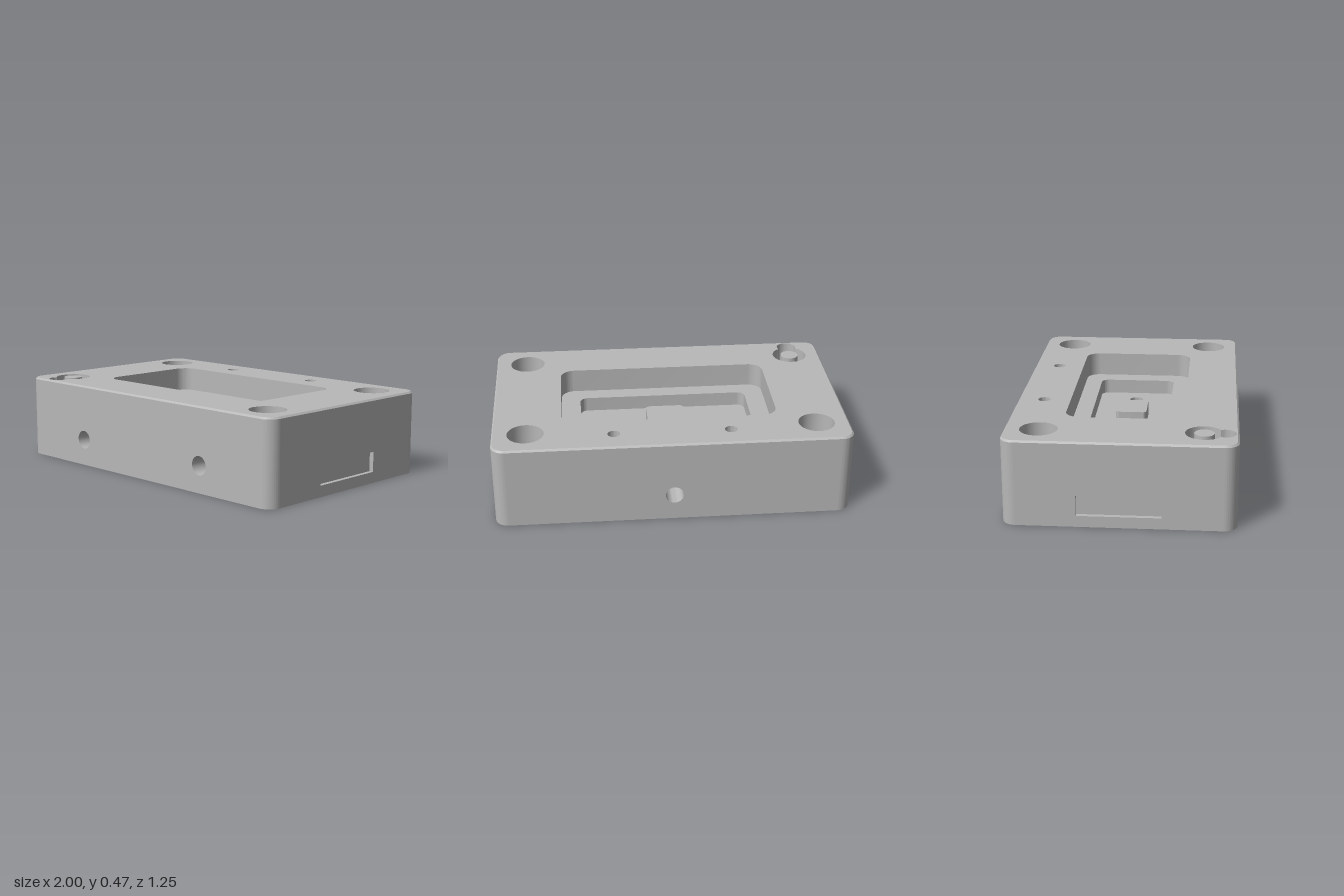
import * as THREE from 'three';
import { toCreasedNormals } from 'three/addons/utils/BufferGeometryUtils.js';

const SEG = 16;
const HX = 1, HZ = 0.6225, H = 0.475, CHAMFER = 0.01, R = 0.075;
const PI = Math.PI;

const grey = new THREE.MeshStandardMaterial({ color: 0xb8b8b8 });
grey.name = 'machined grey';

function circle(x, y, r) {
  return new THREE.Shape().absarc(x, y, r, 0, 2 * PI, false);
}

// Rectangle centred on (x, y) with half sizes and an optional corner radius
function rect(x, y, hx, hy, r = 0) {
  const s = new THREE.Shape();
  if (r === 0) {
    s.moveTo(x - hx, y - hy).lineTo(x + hx, y - hy).lineTo(x + hx, y + hy).lineTo(x - hx, y + hy);
    return s;
  }
  [[1, -1], [1, 1], [-1, 1], [-1, -1]].forEach(([a, b], i) =>
    s.absarc(x + a * (hx - r), y + b * (hy - r), r, (i - 1) * PI / 2, i * PI / 2, false));
  return s;
}

// Flat surface facing local +z
function face(parent, name, shape, z, holes = []) {
  shape.holes = holes;
  const mesh = new THREE.Mesh(new THREE.ShapeGeometry(shape, SEG), grey);
  mesh.position.z = z;
  mesh.name = name;
  parent.add(mesh);
}

// Strip joining outline a at z0 to outline b at z1
function band(parent, name, a, z0, b, z1, inward = false, closed = true) {
  const p = a.getPoints(SEG), q = b.getPoints(SEG), pos = [];
  const n = closed ? p.length : p.length - 1;
  for (let i = 0; i < n; i++) {
    const j = (i + 1) % p.length;
    if (p[i].distanceTo(p[j]) < 1e-6) continue;
    const [s, e] = inward ? [j, i] : [i, j];
    const A = [p[s].x, p[s].y, z0], B = [p[e].x, p[e].y, z0];
    const C = [q[e].x, q[e].y, z1], D = [q[s].x, q[s].y, z1];
    pos.push(...A, ...B, ...C, ...A, ...C, ...D);
  }
  const g = new THREE.BufferGeometry();
  g.setAttribute('position', new THREE.Float32BufferAttribute(pos, 3));
  const mesh = new THREE.Mesh(toCreasedNormals(g, 0.5), grey);
  mesh.name = name;
  parent.add(mesh);
}

function bore(parent, name, shape, top, bottom) {
  band(parent, name, shape, bottom, shape, top, true);
}

// Blind hole: inner wall plus floor
function recess(parent, name, shape, top, bottom, floorHoles = []) {
  bore(parent, name + 'Wall', shape, top, bottom);
  face(parent, name + 'Floor', shape.clone(), bottom, floorHoles);
}

// Local frame whose +z points out of one side of the block
function side(root, name, rx, ry, x, y, z) {
  const g = new THREE.Group();
  g.name = name;
  g.rotation.set(rx, ry, 0);
  g.position.set(x, y, z);
  root.add(g);
  return g;
}

export function createModel() {
  const root = new THREE.Group();
  root.name = 'fixtureBlock';

  // Top, with local y pointing to the back
  const top = side(root, 'top', -PI / 2, 0, 0, H, 0);
  const BX = 0.813, BZ = 0.4385, BORE = 0.102, HOLE = 0.058, DEPTH = -0.2;
  const offsetZ = 0.549;
  const topHoles = [];

  // Three counterbored screw holes
  for (const [x, y] of [[BX, BZ], [-BX, BZ], [BX, -BZ]]) {
    const head = circle(x, y, BORE), shaft = circle(x, y, HOLE);
    topHoles.push(head);
    recess(top, 'counterbore', head, 0, DEPTH, [shaft]);
    bore(top, 'screwHole', shaft, DEPTH, -H);
  }

  // Front corner: counterbore with a standing post and a shifted screw hole
  const d = offsetZ - BZ;
  const a = (d * d + BORE * BORE - HOLE * HOLE) / (2 * d);
  const t = Math.acos(a / BORE), u = Math.acos((d - a) / HOLE);
  const keyhole = new THREE.Shape()
    .absarc(-BX, -BZ, BORE, -PI / 2 + t, 1.5 * PI - t, false)
    .absarc(-BX, -offsetZ, HOLE, PI / 2 + u, 2.5 * PI - u, false);
  const crescent = new THREE.Shape()
    .absarc(-BX, -BZ, BORE, -PI / 2 + t, 1.5 * PI - t, false)
    .absarc(-BX, -offsetZ, HOLE, PI / 2 + u, PI / 2 - u, true);
  const post = circle(-BX, -BZ, 0.054), shifted = circle(-BX, -offsetZ, HOLE);
  topHoles.push(keyhole);
  bore(top, 'keyholeWall', keyhole, 0, DEPTH);
  face(top, 'keyholeFloor', crescent, DEPTH);
  band(top, 'postWall', post, DEPTH, post, 0);
  face(top, 'postTop', post, 0);
  bore(top, 'shiftedScrewHole', shifted, DEPTH, -H);

  // Small pin holes near the back
  for (const s of [-1, 1]) {
    const pin = circle(s * 0.326, 0.476, 0.035);
    topHoles.push(pin);
    recess(top, 'pinHole', pin, 0, -0.2);
  }

  // Stepped pocket with a central boss and two floor holes
  const LEDGE = -0.14, FLOOR = -0.225;
  const pocket = rect(0, 0, 0.612, 0.326, 0.08);
  const inner = rect(0, 0, 0.5, 0.226, 0.045);
  const boss = rect(0, 0, 0.111, 0.09, 0.022);
  const dowels = [-1, 1].map(s => circle(s * 0.374, 0, 0.04));
  topHoles.push(pocket);
  recess(top, 'pocket', pocket, 0, LEDGE, [inner]);
  recess(top, 'innerPocket', inner, LEDGE, FLOOR, [boss, ...dowels]);
  band(top, 'bossWall', boss, FLOOR, boss, LEDGE);
  face(top, 'bossTop', boss.clone(), LEDGE);
  dowels.forEach(h => recess(top, 'dowelHole', h, FLOOR, FLOOR - 0.1));

  // Top surface and chamfered rim
  const outline = rect(0, 0, HX, HZ, R);
  const rim = rect(0, 0, HX - CHAMFER, HZ - CHAMFER, R - CHAMFER);
  face(top, 'topFace', rim.clone(), 0, topHoles);
  band(top, 'chamfer', outline, -CHAMFER, rim, 0);

  // Rounded vertical corners
  [[1, 1], [-1, 1], [-1, -1], [1, -1]].forEach(([sx, sy], i) => {
    const arc = new THREE.Path().absarc(sx * (HX - R), sy * (HZ - R), R, i * PI / 2, (i + 1) * PI / 2, false);
    band(top, 'corner', arc, -H, arc, -CHAMFER, false, false);
  });

  // Bottom, with local y pointing to the front
  const bottom = side(root, 'bottom', PI / 2, 0, 0, 0, 0);
  face(bottom, 'bottomFace', outline.clone(), 0, [
    circle(BX, BZ, HOLE), circle(BX, -BZ, HOLE), circle(-BX, -BZ, HOLE), circle(-BX, offsetZ, HOLE)]);

  // Four upright sides and their openings
  const wallH = (H - CHAMFER) / 2;
  const upright = (name, ry, x, z, half, openings, depth) => {
    const g = side(root, name, 0, ry, x, 0, z);
    face(g, name + 'Face', rect(0, wallH, half - R, wallH), 0, openings);
    openings.forEach(o => recess(g, name + 'Opening', o, 0, -depth));
  };
  upright('front', 0, 0, HZ, HX, [-1, 1].map(s => circle(s * 0.487, 0.152, 0.053)), 0.25);
  upright('back', PI, 0, -HZ, HX, [circle(0, 0.152, 0.05)], 0.25);
  for (const s of [-1, 1]) {
    upright(s > 0 ? 'leftSide' : 'rightSide', s * PI / 2, s * HX, 0, HZ, [rect(0, 0.12, 0.225, 0.057)], 0.025);
  }
  return root;
}
